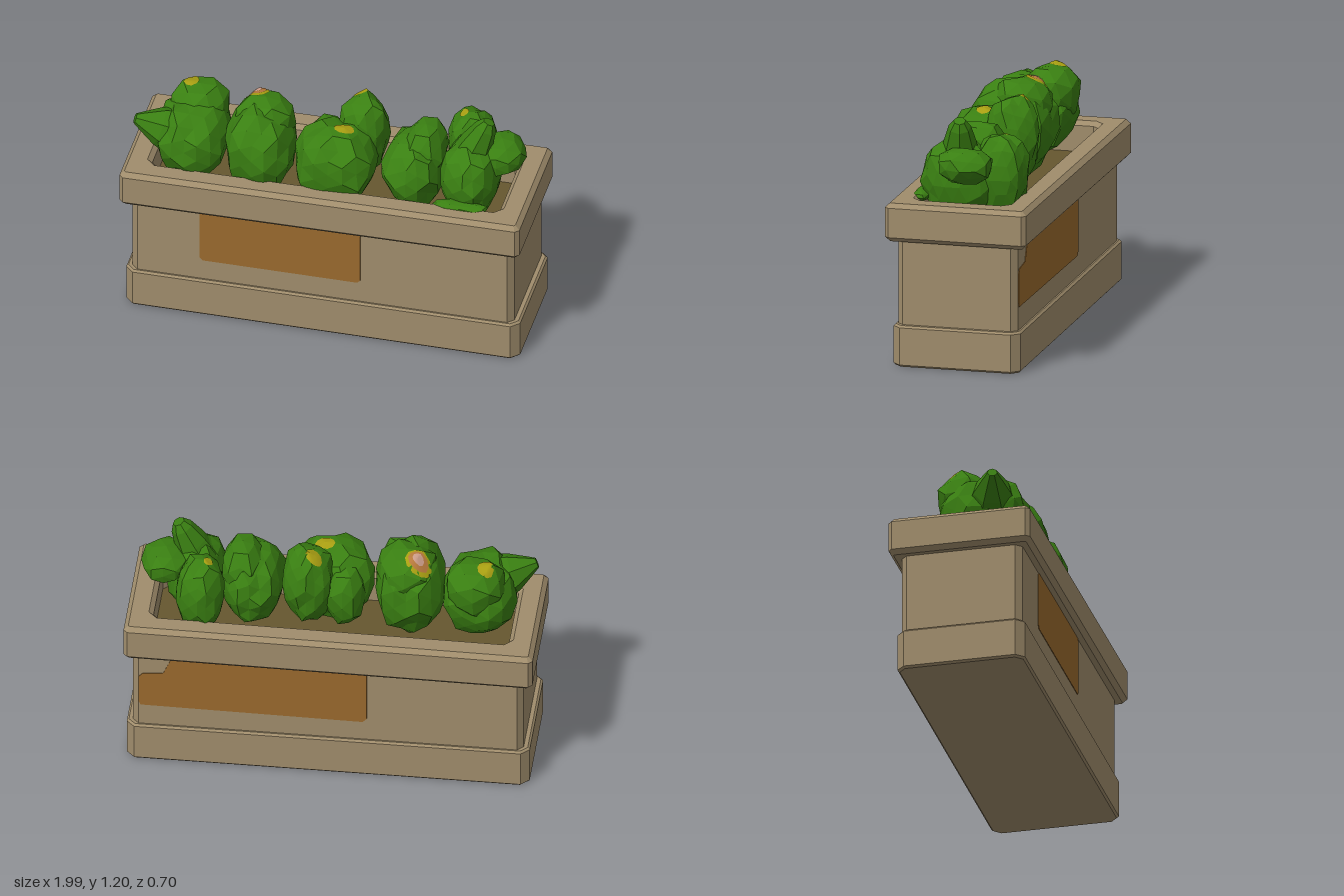
import * as THREE from 'three';

const mat = (name, color) => new THREE.MeshStandardMaterial({ name, color });
const stone = mat('stone', 0xa08d6c), panelBrown = mat('panelBrown', 0x9a6a2e);
const soilBrown = mat('soilBrown', 0x66572f), green = mat('cactusGreen', 0x3a8012);
const yellow = mat('spotYellow', 0xaaa012), orange = mat('spotOrange', 0xb87a3c);
const pink = mat('spotPink', 0xd0a08c);

function mesh(name, geometry, material, parent) {
  const m = new THREE.Mesh(geometry, material);
  m.name = name;
  parent.add(m);
  return m;
}

// Rectangle with cut corners
function cutRect(w, d, c, cx = 0, cy = 0, Type = THREE.Shape) {
  const x = w / 2, y = d / 2;
  return new Type([[-x + c, -y], [x - c, -y], [x, -y + c], [x, y - c], [x - c, y], [-x + c, y], [-x, y - c], [-x, -y + c]]
    .map(([px, py]) => new THREE.Vector2(px + cx, py + cy)));
}

// Horizontal slab with bevelled rims, from y0 to y1
function slab(shape, y0, y1, bevel) {
  const g = new THREE.ExtrudeGeometry(shape, {
    depth: y1 - y0 - 2 * bevel, bevelEnabled: true, bevelSegments: 1,
    bevelSize: bevel, bevelThickness: bevel, bevelOffset: -bevel,
  });
  return g.rotateX(-Math.PI / 2).translate(0, y0 + bevel, 0);
}

// Gentle lumps that depend only on position, so facets stay joined
const lump = (x, y, z, s) =>
  Math.sin(5.1 * x + 2.3 * y + s) * Math.sin(4.3 * z - 3.1 * y + 2 * s) * 0.07 +
  Math.sin(9 * x - 7 * z + 6 * y + 3 * s) * 0.035;

// Faceted boxy ellipsoid, narrower towards the bottom
function blob(parent, name, [cx, cy, cz], [rx, ry, rz], seed, detail = 2, taper = 0.2) {
  const g = new THREE.IcosahedronGeometry(1, detail);
  const p = g.attributes.position, n = 2.5;
  for (let i = 0; i < p.count; i++) {
    const x = p.getX(i), y = p.getY(i), z = p.getZ(i);
    const box = (Math.abs(x) ** n + Math.abs(y) ** n + Math.abs(z) ** n) ** (-1 / n);
    const k = box * (0.97 + lump(x, y, z, seed));
    const t = 1 - taper * Math.max(0, -y);
    p.setXYZ(i, cx + x * k * t * rx, cy + y * k * ry, cz + z * k * t * rz);
  }
  g.computeVertexNormals();
  return mesh(name, g, green, parent);
}

// Tapering faceted limb from a to b
function limb(parent, name, a, b, r0, r1) {
  const from = new THREE.Vector3(...a), dir = new THREE.Vector3(...b).sub(from), len = dir.length();
  const profile = [[r0, 0], [r0 * 0.6 + r1 * 0.4, 0.45 * len], [r1, 0.85 * len], [r1 * 0.55, len], [0, len]];
  let g = new THREE.LatheGeometry(profile.map(([x, y]) => new THREE.Vector2(x, y)), 7).toNonIndexed();
  g.applyQuaternion(new THREE.Quaternion().setFromUnitVectors(new THREE.Vector3(0, 1, 0), dir.normalize()));
  g.translate(from.x, from.y, from.z);
  g.computeVertexNormals();
  return mesh(name, g, green, parent);
}

// Thin spot draped over the plant from above
function spot(plant, x, z, rx, rz, material, lift = 0.004) {
  const g = new THREE.RingGeometry(0.001, 1, 10, 4);
  g.scale(rx, rz, 1).rotateX(-Math.PI / 2).translate(x, 0, z);
  const ray = new THREE.Raycaster(), down = new THREE.Vector3(0, -1, 0), p = g.attributes.position;
  const skin = plant.children.filter((c) => c.material === green);
  plant.updateMatrixWorld(true);
  for (let i = 0; i < p.count; i++) {
    ray.set(new THREE.Vector3(p.getX(i), 3, p.getZ(i)), down);
    const hit = ray.intersectObjects(skin)[0];
    p.setY(i, (hit ? hit.point.y : 0.9) + lift);
  }
  g.computeVertexNormals();
  mesh('spot', g, material, plant);
}

function buildPlanter() {
  const planter = new THREE.Group();
  planter.name = 'planter';
  mesh('base', slab(cutRect(1.96, 0.635, 0.04), 0, 0.205, 0.01), stone, planter);
  mesh('body', slab(cutRect(1.9, 0.6, 0.03), 0.18, 0.635, 0.005), stone, planter);
  const rimShape = cutRect(1.99, 0.705, 0.02);
  rimShape.holes.push(cutRect(1.73, 0.45, 0.03, 0, 0, THREE.Path));
  mesh('rim', slab(rimShape, 0.615, 0.805, 0.022), stone, planter).rotation.z = 0.007;
  mesh('soil', new THREE.BoxGeometry(1.8, 0.02, 0.5), soilBrown, planter).position.y = 0.638;

  // Painted panels, the back one with a notched corner
  const flat = { depth: 0.005, bevelEnabled: false };
  mesh('frontPanel', new THREE.ExtrudeGeometry(cutRect(0.8, 0.3, 0.015, -0.21, 0.465), flat), panelBrown, planter)
    .position.z = 0.298;
  const back = new THREE.Shape([[0.91, 0.32], [0.92, 0.34], [0.92, 0.49], [0.9, 0.51], [0.8, 0.52], [0.76, 0.61],
    [-0.19, 0.61], [-0.19, 0.33], [-0.17, 0.31]].map(([x, y]) => new THREE.Vector2(x, y)));
  mesh('backPanel', new THREE.ExtrudeGeometry(back, flat), panelBrown, planter).position.z = -0.303;
  return planter;
}

function buildPlants() {
  const plants = new THREE.Group();
  plants.name = 'plants';
  const add = (name) => {
    const g = new THREE.Group();
    g.name = name;
    plants.add(g);
    return g;
  };

  // Plant with a side arm
  const a = add('armedPlant');
  blob(a, 'trunk', [-0.7, 0.87, 0.06], [0.18, 0.2, 0.22], 1);
  blob(a, 'crown', [-0.69, 0.98, -0.04], [0.15, 0.15, 0.14], 2, 1);
  limb(a, 'arm', [-0.76, 0.92, 0.11], [-0.965, 1.0, 0.16], 0.13, 0.045);
  spot(a, -0.74, -0.06, 0.04, 0.05, yellow);

  // Plain plant with a ringed spot
  const b = add('ringedPlant');
  blob(b, 'trunk', [-0.36, 0.88, 0.07], [0.175, 0.24, 0.22], 3.2);
  blob(b, 'crown', [-0.35, 1.0, 0.02], [0.15, 0.145, 0.15], 4, 1);
  spot(b, -0.41, -0.04, 0.065, 0.06, yellow);
  spot(b, -0.41, -0.04, 0.05, 0.045, orange, 0.008);
  spot(b, -0.41, -0.04, 0.028, 0.028, pink, 0.012);

  // Wide plant with a rear hump
  const c = add('humpedPlant');
  blob(c, 'trunk', [0.02, 0.87, 0.1], [0.205, 0.21, 0.19], 5);
  blob(c, 'hump', [0.12, 0.95, -0.06], [0.125, 0.215, 0.13], 6.1);
  blob(c, 'sideLobe', [-0.05, 0.86, -0.01], [0.1, 0.17, 0.13], 7, 1);
  spot(c, 0.09, -0.11, 0.04, 0.035, yellow);
  spot(c, 0.06, 0.1, 0.05, 0.04, yellow);

  // Small plant leaning to its left
  const d = add('smallPlant');
  blob(d, 'trunk', [0.4, 0.86, 0.04], [0.155, 0.2, 0.21], 8);
  blob(d, 'crown', [0.45, 0.96, 0.02], [0.105, 0.155, 0.15], 9.3, 1);

  // Tall plant with a horn and a bulging side
  const e = add('hornedPlant');
  blob(e, 'trunk', [0.68, 0.87, 0.06], [0.145, 0.21, 0.18], 10);
  blob(e, 'rearHump', [0.64, 0.9, -0.14], [0.12, 0.21, 0.135], 11.2);
  limb(e, 'horn', [0.66, 0.96, 0.06], [0.765, 1.19, 0.035], 0.1, 0.055);
  blob(e, 'sideBulge', [0.82, 0.98, -0.01], [0.115, 0.09, 0.14], 12, 1);
  blob(e, 'lowLeaf', [0.67, 0.8, 0.23], [0.14, 0.03, 0.045], 13, 1);
  spot(e, 0.6, -0.14, 0.022, 0.03, yellow);
  return plants;
}

export function createModel() {
  const model = new THREE.Group();
  model.name = 'plantedTrough';
  model.add(buildPlanter(), buildPlants());
  return model;
}
